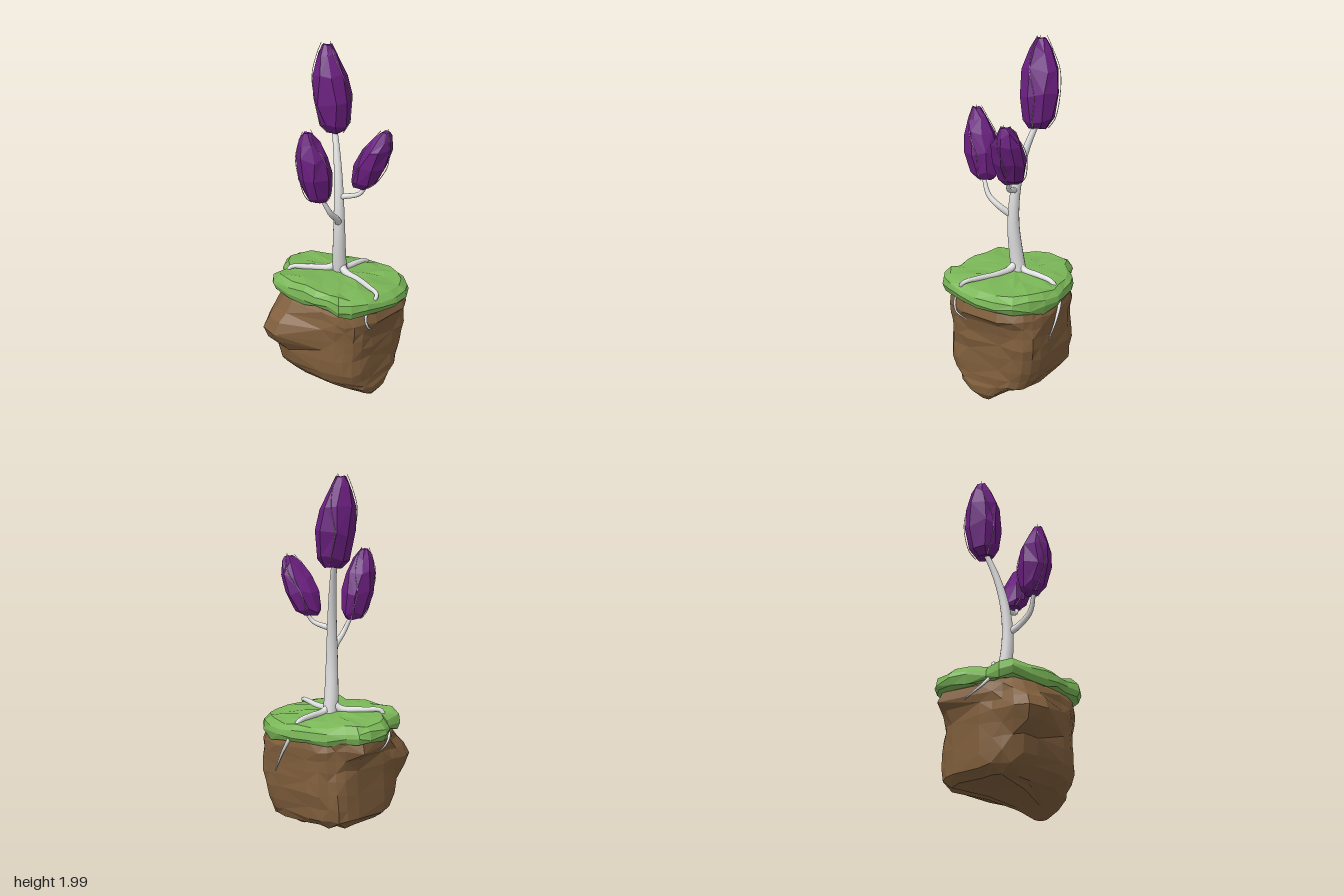
import * as THREE from 'three';

const V = (x, y, z) => new THREE.Vector3(x, y, z);
const mat = (name, color) => {
  const m = new THREE.MeshStandardMaterial({ color });
  m.name = name;
  return m;
};

// Small seeded random, centred on zero
function makeNoise(seed) {
  return (amount) => {
    seed = (seed * 16807) % 2147483647;
    return (seed / 2147483647 - 0.5) * 2 * amount;
  };
}

// Faceted closed solid from rings (bottom to top, each anticlockwise from above)
function loft(rings) {
  const n = rings[0].length, pos = [];
  const tri = (a, b, c) => [a, b, c].forEach((p) => pos.push(p.x, p.y, p.z));
  const middle = (ring) => ring.reduce((s, p) => s.add(p), V(0, 0, 0)).divideScalar(n);
  const last = rings[rings.length - 1];
  const low = middle(rings[0]), high = middle(last);
  for (let j = 0; j < n; j++) {
    const k = (j + 1) % n;
    for (let i = 0; i < rings.length - 1; i++) {
      const [a, b, c, d] = [rings[i][j], rings[i][k], rings[i + 1][k], rings[i + 1][j]];
      if ((i + j) % 2) { tri(a, b, c); tri(a, c, d); } else { tri(a, b, d); tri(b, c, d); }
    }
    tri(low, rings[0][k], rings[0][j]);
    tri(high, last[j], last[k]);
  }
  const g = new THREE.BufferGeometry();
  g.setAttribute('position', new THREE.Float32BufferAttribute(pos, 3));
  g.computeVertexNormals();
  return g;
}

// Smooth tube whose radius runs from r0 to r1
function taperedTube(points, r0, r1, segments = 28, sides = 10) {
  const curve = new THREE.CatmullRomCurve3(points.map((p) => V(...p)));
  const g = new THREE.TubeGeometry(curve, segments, 1, sides);
  const p = g.attributes.position, v = V(0, 0, 0);
  for (let i = 0; i < p.count; i++) {
    const u = Math.floor(i / (sides + 1)) / segments;
    const c = curve.getPointAt(u);
    v.fromBufferAttribute(p, i).sub(c).multiplyScalar(r0 + (r1 - r0) * u).add(c);
    p.setXYZ(i, v.x, v.y, v.z);
  }
  return g;
}

// Soil block: boxy rings [y, xMin, xMax, zMin, zMax] pushed out by lumps
function soilGeometry() {
  const noise = makeNoise(77);
  const levels = [
    [0.0, -0.01, 0.05, 0.22, 0.28], [0.045, -0.08, 0.11, 0.15, 0.315],
    [0.095, -0.16, 0.19, -0.04, 0.32], [0.118, -0.2, 0.285, -0.245, 0.315],
    [0.16, -0.24, 0.315, -0.285, 0.315], [0.22, -0.265, 0.33, -0.295, 0.315],
    [0.3, -0.265, 0.34, -0.295, 0.315], [0.37, -0.26, 0.345, -0.29, 0.32],
    [0.43, -0.26, 0.345, -0.29, 0.32], [0.49, -0.26, 0.35, -0.29, 0.325],
    [0.54, -0.26, 0.35, -0.29, 0.325], [0.59, -0.255, 0.34, -0.285, 0.315],
    [0.64, -0.22, 0.29, -0.25, 0.28],
  ];
  // Lump: centre x, y, z, horizontal size, vertical size, push
  const lumps = [
    [-0.27, 0.43, -0.13, 0.14, 0.11, 0.14], [-0.2, 0.45, -0.3, 0.1, 0.25, -0.03],
    [0.06, 0.56, 0.34, 0.18, 0.055, 0.07], [0.12, 0.55, -0.3, 0.12, 0.07, 0.1],
    [0.33, 0.5, -0.27, 0.13, 0.3, -0.045], [0.33, 0.4, 0.28, 0.08, 0.14, 0.025],
  ];
  const power = (t) => Math.sign(t) * Math.pow(Math.abs(t), 0.53);
  return loft(levels.map(([y, x0, x1, z0, z1], i) => Array.from({ length: 24 }, (_, j) => {
    const a = ((j + 0.5) / 24) * Math.PI * 2;
    let x = (x0 + x1) / 2 + power(Math.cos(a)) * (x1 - x0) / 2;
    let z = (z0 + z1) / 2 - power(Math.sin(a)) * (z1 - z0) / 2;
    let push = noise(0.008);
    for (const [lx, ly, lz, s, h, amt] of lumps) {
      push += amt * Math.exp(-((x - lx) ** 2 + (z - lz) ** 2) / (s * s) - ((y - ly) / h) ** 2);
    }
    if (i > 2) {
      const len = Math.hypot(x - 0.04, z) || 1;
      x += push * (x - 0.04) / len;
      z += push * z / len;
    }
    return V(x, y + (i > 1 ? noise(0.01) : 0), z);
  })));
}

// Turf slab: outline scaled through rings, tilted down towards +x
function turfGeometry() {
  const noise = makeNoise(913);
  const outline = [
    [0.05, -0.405], [0.16, -0.395], [0.21, -0.36], [0.235, -0.29], [0.3, -0.21], [0.34, -0.12],
    [0.36, 0], [0.375, 0.08], [0.355, 0.19], [0.31, 0.28], [0.25, 0.35], [0.16, 0.395],
    [0.05, 0.405], [-0.06, 0.385], [-0.16, 0.36], [-0.24, 0.31], [-0.28, 0.25], [-0.265, 0.17],
    [-0.28, 0.08], [-0.275, 0], [-0.27, -0.12], [-0.25, -0.24], [-0.2, -0.29], [-0.1, -0.285],
    [-0.03, -0.36],
  ].reverse();
  // Ring: scale, height, jitter
  const rings = [
    [0.8, 0.605, 0], [0.96, 0.597, 0.013], [1, 0.63, 0.01], [0.98, 0.664, 0.012],
    [0.89, 0.693, 0.01], [0.68, 0.7, 0.008], [0.4, 0.702, 0.006], [0.15, 0.705, 0.002],
  ];
  return loft(rings.map(([s, y, jitter]) => outline.map(([x, z]) => {
    const px = 0.04 + (x - 0.04) * s, pz = z * s;
    return V(px, y - 0.085 * px + noise(jitter), pz);
  })));
}

// Bud cross-sections: position along the axis, relative radius
const BUD = [[0, 0.45], [0.1, 0.77], [0.38, 1], [0.66, 0.9], [0.88, 0.56], [1, 0.26]];

function budRing({ base, tip, rx, rz }, t, r, a) {
  const c = V(...base).lerp(V(...tip), t);
  return c.add(V(Math.cos(a) * rx * r, 0, -Math.sin(a) * rz * r));
}

function budGeometry(bud, seed) {
  const noise = makeNoise(seed);
  return loft(BUD.map(([t, r], i) => Array.from({ length: 8 }, (_, j) => {
    const inside = i > 0 && i < BUD.length - 1;
    const a = ((j + noise(0.2)) / 8) * Math.PI * 2;
    const p = budRing(bud, t, r * (1.02 + noise(0.04)), a);
    p.y += noise(inside ? 0.02 : 0.006);
    return p;
  })));
}

// Fine strand climbing the bud from base to tip
function strandPoints(bud, angle) {
  return BUD.map(([t, r], i) => {
    const p = budRing(bud, t, r * 1.03 + 0.02, angle + Math.sin(t * 5) * 0.3);
    if (i === BUD.length - 1) p.y += 0.012;
    return p.toArray();
  });
}

export function createModel() {
  const model = new THREE.Group();
  model.name = 'buddingPlant';
  const soil = mat('soil brown', 0x7f5e3c);
  const grass = mat('grass green', 0x7ab657);
  const bark = mat('pale bark', 0xdedede);
  const petal = mat('bud purple', 0x6b1f80);
  const add = (name, geometry, material, parent = model) => {
    const m = new THREE.Mesh(geometry, material);
    m.name = name;
    parent.add(m);
  };

  add('soil', soilGeometry(), soil);
  add('turf', turfGeometry(), grass);

  // Trunk and its two side branches
  add('trunk', taperedTube([[0.07, 0.66, 0], [0.055, 0.74, 0], [0.035, 0.95, 0.012], [0.038, 1.1, 0.008],
    [0.055, 1.25, -0.01], [0.085, 1.4, -0.045], [0.12, 1.53, -0.09]], 0.044, 0.015, 40, 14), bark);
  add('rightBranch', taperedTube([[0.03, 1.01, 0.01], [-0.03, 1.06, 0.045], [-0.1, 1.12, 0.055],
    [-0.15, 1.22, 0.035]], 0.021, 0.011), bark);
  add('frontBranch', taperedTube([[0.04, 1.16, 0], [0.055, 1.17, 0.05], [0.075, 1.195, 0.12],
    [0.1, 1.26, 0.16]], 0.018, 0.009), bark);

  // Roots run over the turf, dive through it and come out against the soil
  const roots = {
    frontRoot: [[0.06, 0.76, 0], [0.04, 0.712, 0.05], [0.015, 0.706, 0.16], [-0.025, 0.71, 0.26], [-0.068, 0.702, 0.35],
      [-0.1, 0.65, 0.335], [-0.14, 0.58, 0.33], [-0.125, 0.52, 0.34], [-0.06, 0.48, 0.33]],
    leftRoot: [[0.05, 0.76, 0], [0.1, 0.704, 0.005], [0.2, 0.692, 0.008], [0.285, 0.676, 0.012], [0.32, 0.64, 0.015],
      [0.35, 0.58, 0.03], [0.358, 0.5, 0.075], [0.35, 0.39, 0.14]],
    backRoot: [[0.06, 0.76, 0], [0.03, 0.715, -0.05], [-0.04, 0.713, -0.15], [-0.105, 0.71, -0.235],
      [-0.11, 0.65, -0.25], [-0.1, 0.59, -0.295], [-0.05, 0.55, -0.32], [0.01, 0.52, -0.33]],
  };
  for (const [name, points] of Object.entries(roots)) {
    add(name, taperedTube(points, 0.024, 0.003, 44), bark);
  }

  // Buds with fine strands
  const buds = {
    topBud: { base: [0.13, 1.5, -0.085], tip: [0.115, 1.975, -0.135], rx: 0.114, rz: 0.102 },
    rightBud: { base: [-0.15, 1.2, 0.02], tip: [-0.215, 1.59, 0.0], rx: 0.099, rz: 0.089 },
    frontBud: { base: [0.095, 1.23, 0.12], tip: [0.135, 1.555, 0.245], rx: 0.095, rz: 0.086 },
  };
  Object.entries(buds).forEach(([name, bud], i) => {
    const group = new THREE.Group();
    group.name = name;
    add('petals', budGeometry(bud, 31 + i * 57), petal, group);
    for (const angle of [-1.6, 0.5, 2.6]) {
      add('strand', taperedTube(strandPoints(bud, angle), 0.0025, 0.0015, 24, 5), bark, group);
    }
    model.add(group);
  });
  return model;
}
